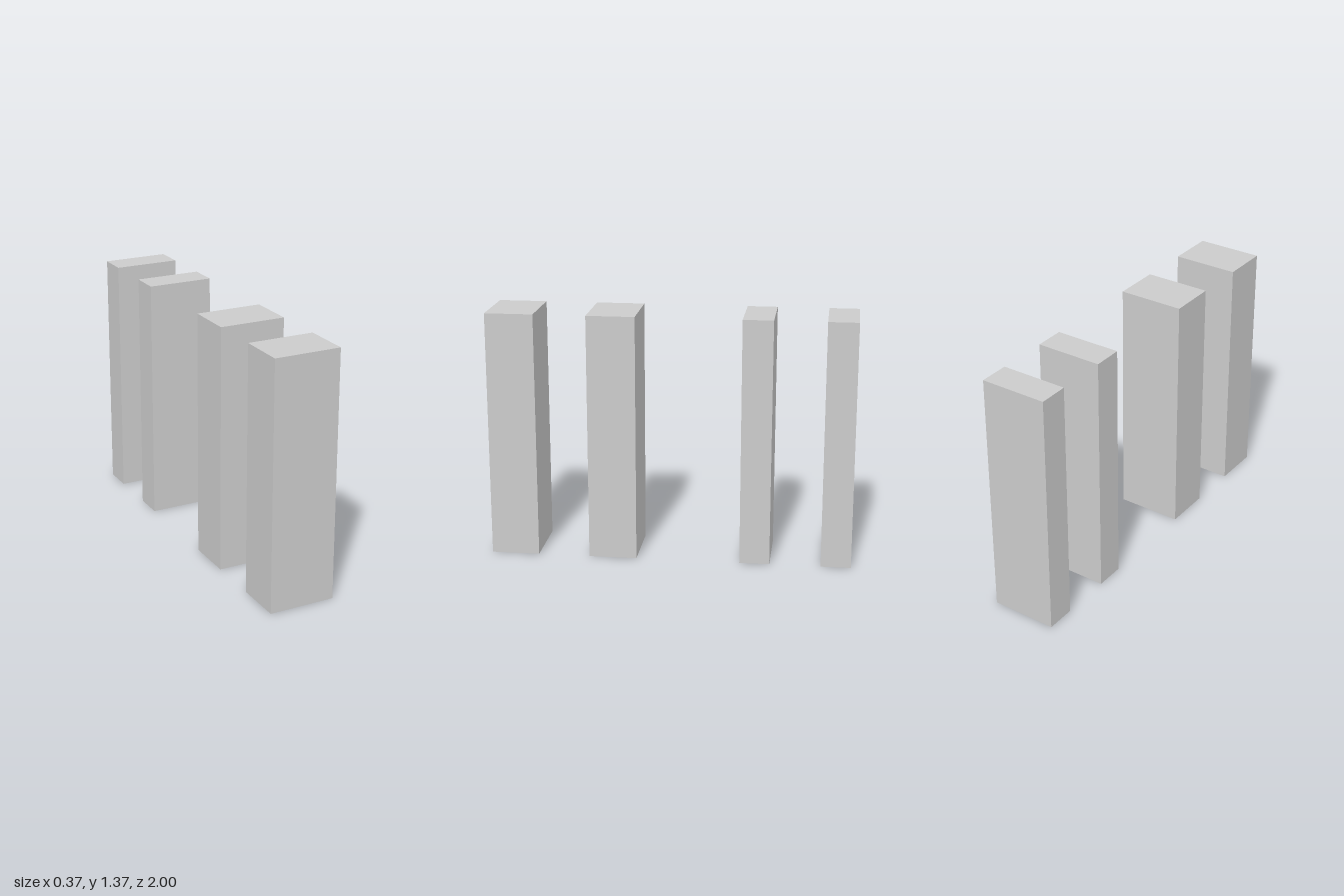
import * as THREE from 'three';

const WIDTH = 0.366;
const HEIGHT = 1.366;

// Upright blocks in a row: two thick ones in front, two thin ones behind
const PILLARS = [
  { name: 'frontThickPillar', back: 0.735, front: 1 },
  { name: 'rearThickPillar', back: 0.184, front: 0.449 },
  { name: 'frontThinPillar', back: -0.554, front: -0.389 },
  { name: 'rearThinPillar', back: -1, front: -0.835 },
];

export function createModel() {
  const group = new THREE.Group();
  group.name = 'pillarRow';
  const material = new THREE.MeshStandardMaterial({ color: 0xcccccc, flatShading: true });

  for (const { name, back, front } of PILLARS) {
    const pillar = new THREE.Mesh(new THREE.BoxGeometry(WIDTH, HEIGHT, front - back), material);
    pillar.name = name;
    pillar.position.set(0, HEIGHT / 2, (front + back) / 2);
    group.add(pillar);
  }
  return group;
}
